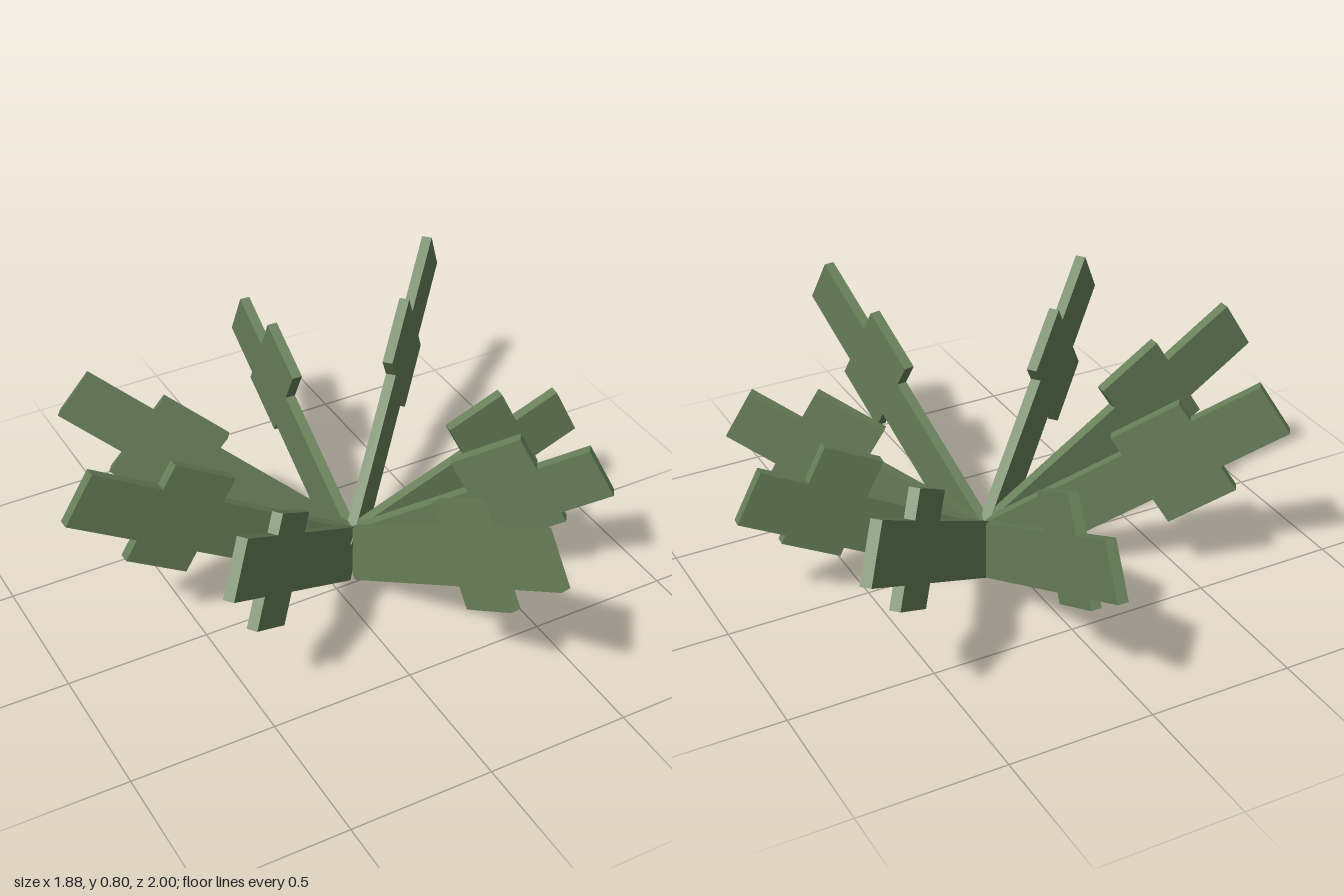
import * as THREE from 'three';

const STEM = 0.194;   // height of the blade's stem and tip
const THICK = 0.036;  // blade thickness

// Per blade: tip direction [x, z] from the centre, elevation in degrees, length,
// then start, end, bottom and top of the broad section along and across the blade
const BLADES = [
  [0.04, -0.94, 27.3, 1.02, 0.59, 0.82, -0.037, 0.326],
  [0.77, -0.76, 31.9, 1.21, 0.65, 0.905, -0.08, 0.29],
  [0.84, 0.09, 26.3, 0.89, 0.505, 0.72, -0.032, 0.33],
  [0.70, 0.54, 28.5, 0.945, 0.50, 0.755, -0.04, 0.322],
  [0.15, 1.06, 32, 1.18, 0.645, 0.89, -0.08, 0.29],
  [-0.76, 0.62, 34.5, 1.13, 0.62, 0.868, -0.11, 0.262],
  [-1.03, 0.02, 32, 1.165, 0.645, 0.89, -0.08, 0.285],
  [-0.82, -0.56, 33, 1.12, 0.61, 0.866, -0.1, 0.267],
];

// Stepped leaf outline: narrow stem, broad middle, narrow tip
function bladeGeometry(elevation, length, start, end, low, high) {
  const outline = [
    [0, 0], [start, 0], [start, low], [end, low], [end, 0], [length, 0],
    [length, STEM], [end, STEM], [end, high], [start, high], [start, STEM], [0, STEM],
  ].map(([u, v]) => new THREE.Vector2(u, v));
  const geometry = new THREE.ExtrudeGeometry(new THREE.Shape(outline), {
    depth: THICK, bevelEnabled: false,
  });
  geometry.translate(0, 0, -THICK / 2);
  geometry.rotateZ(THREE.MathUtils.degToRad(elevation));
  geometry.translate(0.048, 0.004, 0);
  return geometry;
}

export function createModel() {
  const model = new THREE.Group();
  model.name = 'plant';
  const leafGreen = new THREE.MeshStandardMaterial({ color: 0x68805a });
  leafGreen.name = 'leafGreen';

  // Ring of upright blades fanning out from one root point
  const blades = new THREE.Group();
  blades.name = 'blades';
  blades.position.set(0.09, 0, -0.06);
  BLADES.forEach(([dx, dz, ...dims], i) => {
    const blade = new THREE.Mesh(bladeGeometry(...dims), leafGreen);
    blade.name = `blade${i + 1}`;
    blade.rotation.y = -Math.atan2(dz, dx);
    blades.add(blade);
  });
  model.add(blades);
  return model;
}
